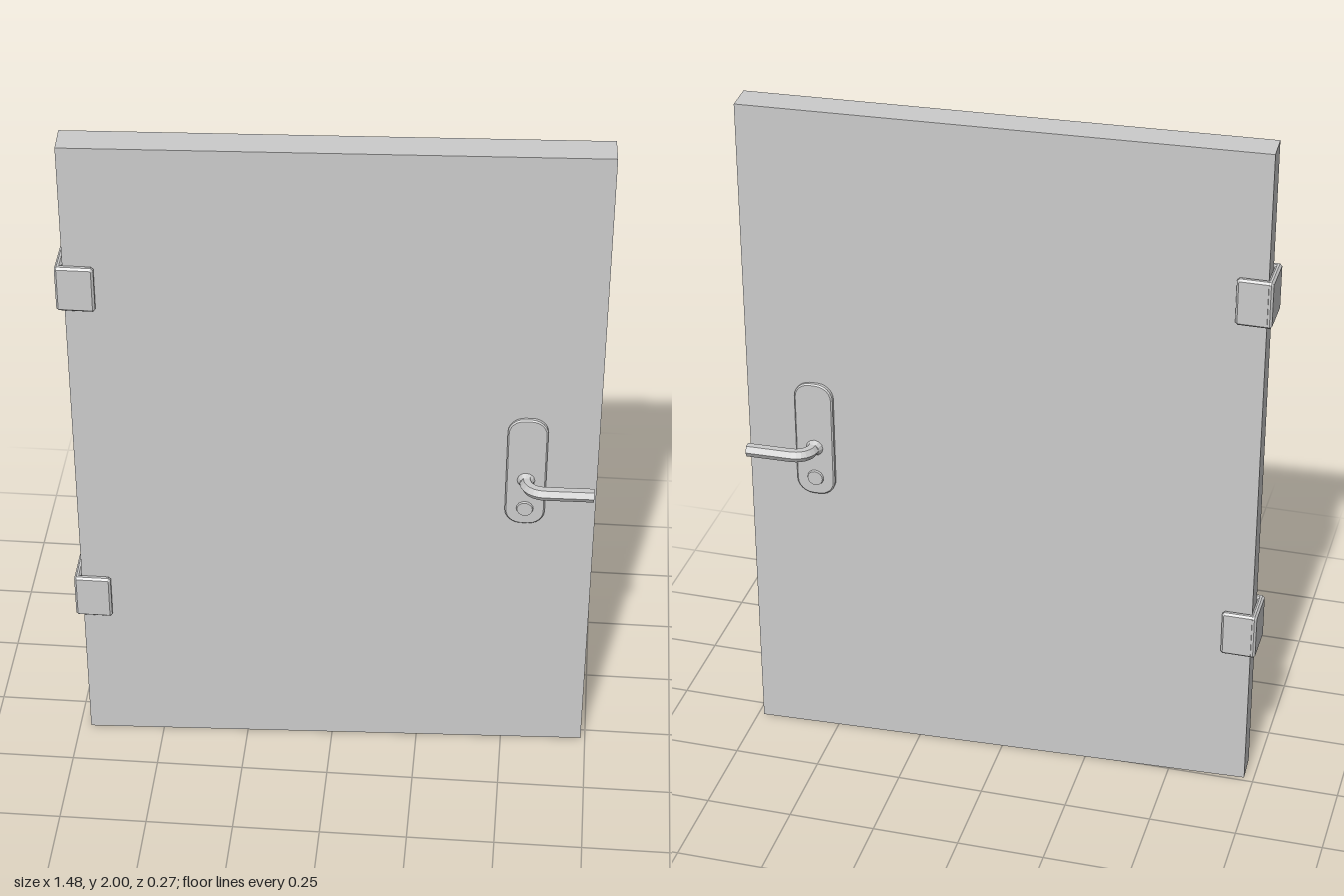
import * as THREE from 'three';

const material = new THREE.MeshStandardMaterial({ color: 0xcccccc, flatShading: true });

function part(name, geometry, x = 0, y = 0, z = 0) {
  const mesh = new THREE.Mesh(geometry, material);
  mesh.name = name;
  mesh.position.set(x, y, z);
  return mesh;
}

// Rounded or chamfer-cornered plate, centred, bevelled on both faces
function plate(w, h, d, radius, bevel, steps = 1) {
  const x = w / 2 - bevel, y = h / 2 - bevel, points = [];
  for (const [sx, sy, start] of [[1, 1, 0], [-1, 1, 1], [-1, -1, 2], [1, -1, 3]]) {
    for (let i = 0; i <= steps; i++) {
      const a = (start + i / steps) * Math.PI / 2;
      points.push(new THREE.Vector2(
        sx * (x - radius) + Math.cos(a) * radius,
        sy * (y - radius) + Math.sin(a) * radius));
    }
  }
  return new THREE.ExtrudeGeometry(new THREE.Shape(points), {
    depth: d - 2 * bevel, bevelSize: bevel, bevelThickness: bevel, bevelSegments: 1,
  }).translate(0, 0, bevel - d / 2);
}

// Hinge bracket wrapping the door's edge
function createHinge(y) {
  const hinge = new THREE.Group();
  hinge.name = 'hinge';
  hinge.position.y = y;
  hinge.add(part('hingeFrontPlate', plate(0.105, 0.138, 0.02, 0.003, 0.006), -0.6865, 0, 0.109));
  hinge.add(part('hingeBackPlate', plate(0.1, 0.138, 0.02, 0.003, 0.006), -0.689, 0, 0.002));
  const side = plate(0.128, 0.138, 0.018, 0.003, 0.006).rotateY(-Math.PI / 2);
  hinge.add(part('hingeSidePlate', side, -0.73, 0, 0.055));
  return hinge;
}

// Lever, backplate and lock for one face: s = 1 front, s = -1 back
function createHandle(s) {
  const handle = new THREE.Group();
  handle.name = s > 0 ? 'frontHandle' : 'backHandle';
  handle.add(part('backplate', plate(0.112, 0.358, 0.026, 0.042, 0.004, 6), 0.54, 0.99, s * 0.044));

  const lock = new THREE.CylinderGeometry(0.022, 0.026, 0.012, 16).rotateX(s * Math.PI / 2);
  handle.add(part('lockCylinder', lock, 0.54, 0.866, s * 0.057));
  const collar = new THREE.CylinderGeometry(0.017, 0.026, 0.016, 12).rotateX(s * Math.PI / 2);
  handle.add(part('handleCollar', collar, 0.54, 0.964, s * 0.063));

  // Six-sided lever swept round a bend
  const end = s > 0 ? 0.73 : 0.72;
  const v = (x, z) => new THREE.Vector3(x, 0.964, s * z);
  const path = new THREE.CurvePath();
  path.add(new THREE.LineCurve3(v(0.542, 0.05), v(0.542, 0.07)));
  path.add(new THREE.CubicBezierCurve3(v(0.542, 0.07), v(0.542, 0.094), v(0.562, 0.113), v(0.592, 0.114)));
  path.add(new THREE.LineCurve3(v(0.592, 0.114), v(end, s > 0 ? 0.111 : 0.117)));
  const section = new THREE.Shape(Array.from({ length: 6 }, (_, i) => {
    const a = (i + 0.5) * Math.PI / 3;
    return new THREE.Vector2(Math.cos(a) * 0.019, Math.sin(a) * 0.019);
  }));
  handle.add(part('lever', new THREE.ExtrudeGeometry(section, { steps: 20, extrudePath: path })));
  return handle;
}

export function createModel() {
  const model = new THREE.Group();
  model.name = 'door';

  // Door leaf, standing slightly ajar
  const leaf = part('doorLeaf', new THREE.BoxGeometry(1.457, 2, 0.09), 0.0075, 1, 0.025);
  leaf.rotation.y = 0.0467;
  model.add(leaf);

  for (const y of [0.507, 1.568]) model.add(createHinge(y));
  for (const s of [1, -1]) model.add(createHandle(s));
  return model;
}
